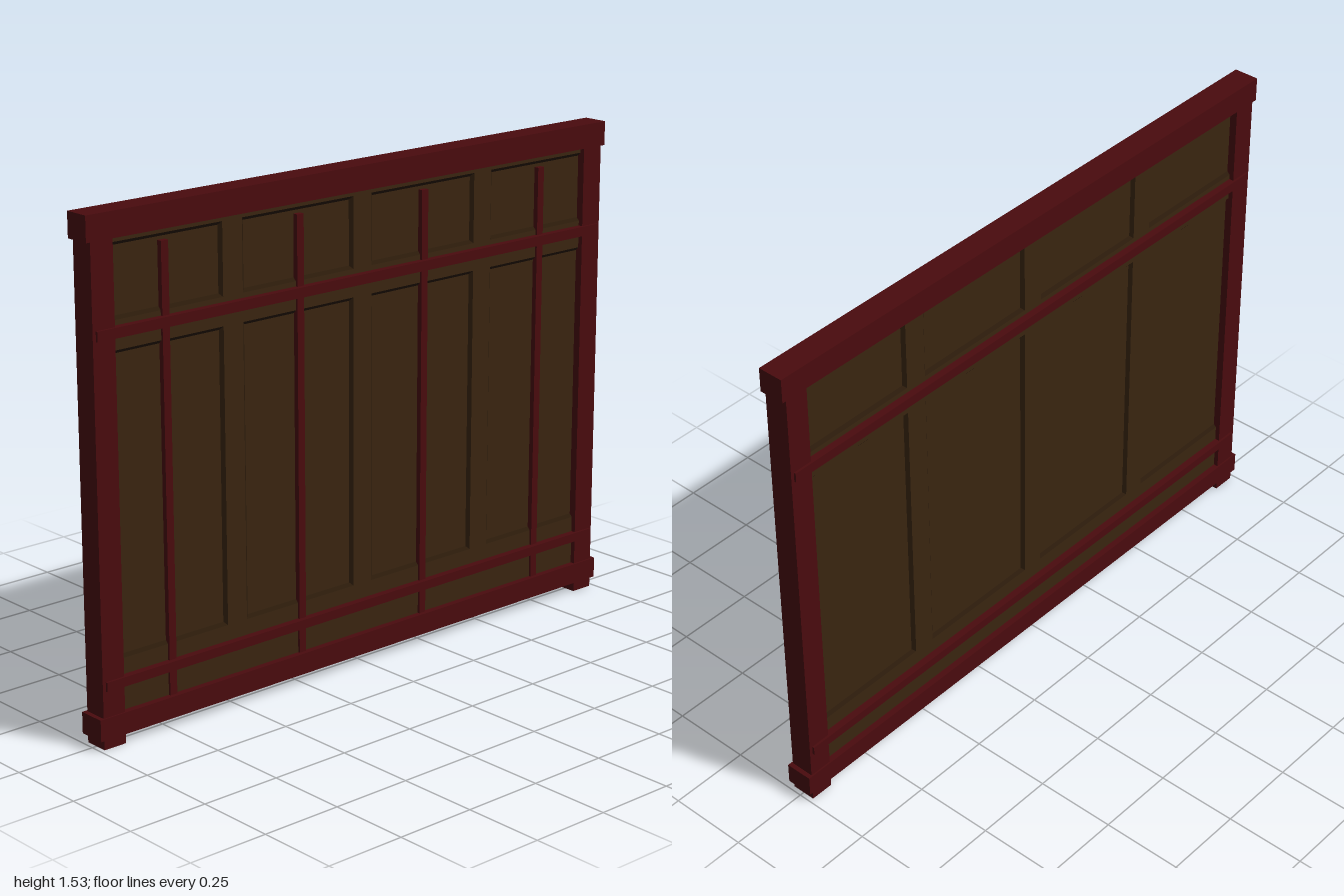
import * as THREE from 'three';

const red = new THREE.MeshStandardMaterial({ color: 0x4a0b0e });
red.name = 'dark red lacquer';
const brown = new THREE.MeshStandardMaterial({ color: 0x3a2510 });
brown.name = 'dark brown wood';
const edge = new THREE.MeshStandardMaterial({ color: 0x2a1a0a });
edge.name = 'deep brown moulding';

const CENTRES = [-0.73, -0.243, 0.243, 0.73]; // panel columns
const HALF_W = 0.208;
const ROWS = [[0.25, 1.14], [1.225, 1.44]]; // tall lower and short upper panels

// Box given by its lower and upper corners
function box(name, material, x0, x1, y0, y1, z0, z1) {
  const mesh = new THREE.Mesh(new THREE.BoxGeometry(x1 - x0, y1 - y0, z1 - z0), material);
  mesh.position.set((x0 + x1) / 2, (y0 + y1) / 2, (z0 + z1) / 2);
  mesh.name = name;
  return mesh;
}

function trace(path, x0, x1, y0, y1) {
  path.moveTo(x0, y0);
  path.lineTo(x1, y0);
  path.lineTo(x1, y1);
  path.lineTo(x0, y1);
  path.closePath();
  return path;
}

export function createModel() {
  const model = new THREE.Group();
  model.name = 'panelledWall';

  // Posts with feet
  for (const s of [-1, 1]) {
    const post = box('post', red, -0.0375, 0.0375, 0, 1.5, -0.038, 0.038);
    post.position.x = s * 0.948;
    model.add(post);
  }

  // Top and bottom beams
  model.add(box('topBeam', red, -1, 1, 1.455, 1.53, -0.04, 0.04));
  model.add(box('bottomBeam', red, -1, 1, 0.03, 0.095, -0.043, 0.043));

  // Horizontal rails standing proud of both faces
  model.add(box('lowerRail', red, -0.975, 0.975, 0.174, 0.202, -0.045, 0.045));
  model.add(box('upperRail', red, -0.975, 0.975, 1.18, 1.21, -0.045, 0.045));

  // Sunken panel board
  model.add(box('panelBoard', brown, -0.94, 0.94, 0.06, 1.48, -0.014, 0.014));

  // Panelling with bevelled openings on both faces
  const shape = trace(new THREE.Shape(), -0.945, 0.945, 0.06, 1.48);
  for (const x of CENTRES) {
    for (const [y0, y1] of ROWS) {
      shape.holes.push(trace(new THREE.Path(), x - HALF_W, x + HALF_W, y0, y1));
    }
  }
  const geometry = new THREE.ExtrudeGeometry(shape, {
    depth: 0.028, bevelEnabled: true, bevelThickness: 0.009, bevelSize: 0.01, bevelSegments: 1,
  });
  geometry.translate(0, 0, -0.014);
  const panelling = new THREE.Mesh(geometry, [brown, edge]);
  panelling.name = 'panelling';
  model.add(panelling);

  // Slim uprights on the front only
  for (const x of CENTRES) {
    model.add(box('frontUpright', red, x - 0.0125, x + 0.0125, 0.06, 1.42, 0.01, 0.03));
  }
  return model;
}
